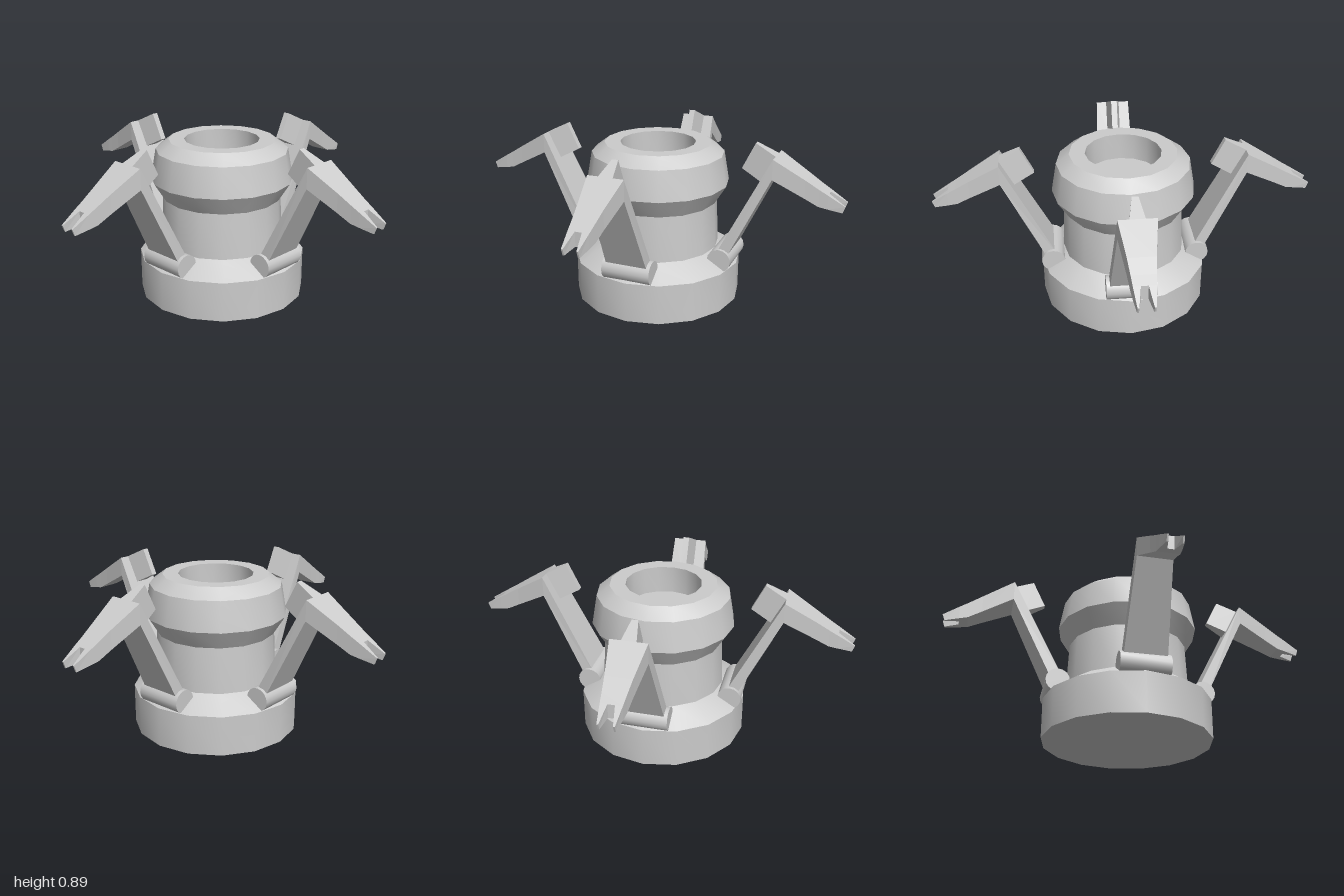
import * as THREE from 'three';
import { toCreasedNormals } from 'three/addons/utils/BufferGeometryUtils.js';

const material = new THREE.MeshStandardMaterial({ color: 0xcccccc });

// Lofts four-cornered sections: [z, y of inner edge, z, y of outer edge, x from, x to]
function loft(sections) {
  const rings = sections.map(([zi, yi, zo, yo, x0, x1]) => [
    [x0, yi, zi], [x1, yi, zi], [x1, yo, zo], [x0, yo, zo],
  ]);
  const out = [];
  const quad = (a, b, c, d) => out.push(...a, ...b, ...c, ...a, ...c, ...d);
  for (let s = 0; s < rings.length - 1; s++) {
    const p = rings[s], q = rings[s + 1];
    for (let i = 0; i < 4; i++) {
      const j = (i + 1) % 4;
      quad(p[i], q[i], q[j], p[j]);
    }
  }
  const first = rings[0], last = rings[rings.length - 1];
  quad(first[0], first[1], first[2], first[3]);
  quad(last[3], last[2], last[1], last[0]);
  const geometry = new THREE.BufferGeometry();
  geometry.setAttribute('position', new THREE.Float32BufferAttribute(out, 3));
  geometry.computeVertexNormals();
  return geometry;
}

function addMesh(parent, name, geometry) {
  const mesh = new THREE.Mesh(geometry, material);
  mesh.name = name;
  parent.add(mesh);
  return mesh;
}

// One arm reaching along +z
function createArm() {
  const arm = new THREE.Group();

  // Hinge barrel lying across the shoulder
  const barrel = new THREE.CylinderGeometry(0.063, 0.063, 0.26, 16);
  barrel.rotateZ(Math.PI / 2);
  const hinge = addMesh(arm, 'hinge', toCreasedNormals(barrel, 0.6));
  hinge.position.set(0, 0.27, 0.39);

  // Leaning plate that bends over into the claw
  addMesh(arm, 'armPlate', loft([
    [0.365, 0.295, 0.415, 0.265, -0.113, 0.113],
    [0.64, 0.84, 0.64, 0.735, -0.092, 0.092],
    [0.80, 0.746, 0.80, 0.652, -0.066, 0.066],
    [0.87, 0.703, 0.87, 0.615, -0.057, 0.057],
    [0.915, 0.677, 0.915, 0.606, -0.052, 0.052],
  ]));

  // Forked tip
  for (const side of [-1, 1]) {
    const span = (a, b) => (side > 0 ? [a, b] : [-b, -a]);
    addMesh(arm, 'clawProng', loft([
      [0.915, 0.677, 0.915, 0.606, ...span(0.017, 0.052)],
      [1.0, 0.626, 0.988, 0.592, ...span(0.033, 0.041)],
    ]));
  }

  // Tapered block behind the bend
  addMesh(arm, 'rearWedge', loft([
    [0.572, 0.70, 0.64, 0.84, -0.037, 0.037],
    [0.465, 0.755, 0.532, 0.893, -0.016, 0.016],
  ]));
  return arm;
}

export function createModel() {
  const model = new THREE.Group();
  model.name = 'clampTower';

  // Base, neck and hollow head in one turned profile
  const profile = [
    [0, 0], [0.45, 0], [0.45, 0.215], [0.33, 0.29], [0.318, 0.535], [0.38, 0.635],
    [0.352, 0.793], [0.283, 0.845], [0.2, 0.845], [0.2, 0.7], [0, 0.7],
  ].map(([r, y]) => new THREE.Vector2(r, y));
  addMesh(model, 'body', toCreasedNormals(new THREE.LatheGeometry(profile, 16), 0.5));

  // Four arms around the body
  ['frontArm', 'leftArm', 'backArm', 'rightArm'].forEach((name, i) => {
    const arm = createArm();
    arm.name = name;
    arm.rotation.y = i * Math.PI / 2;
    model.add(arm);
  });
  return model;
}
